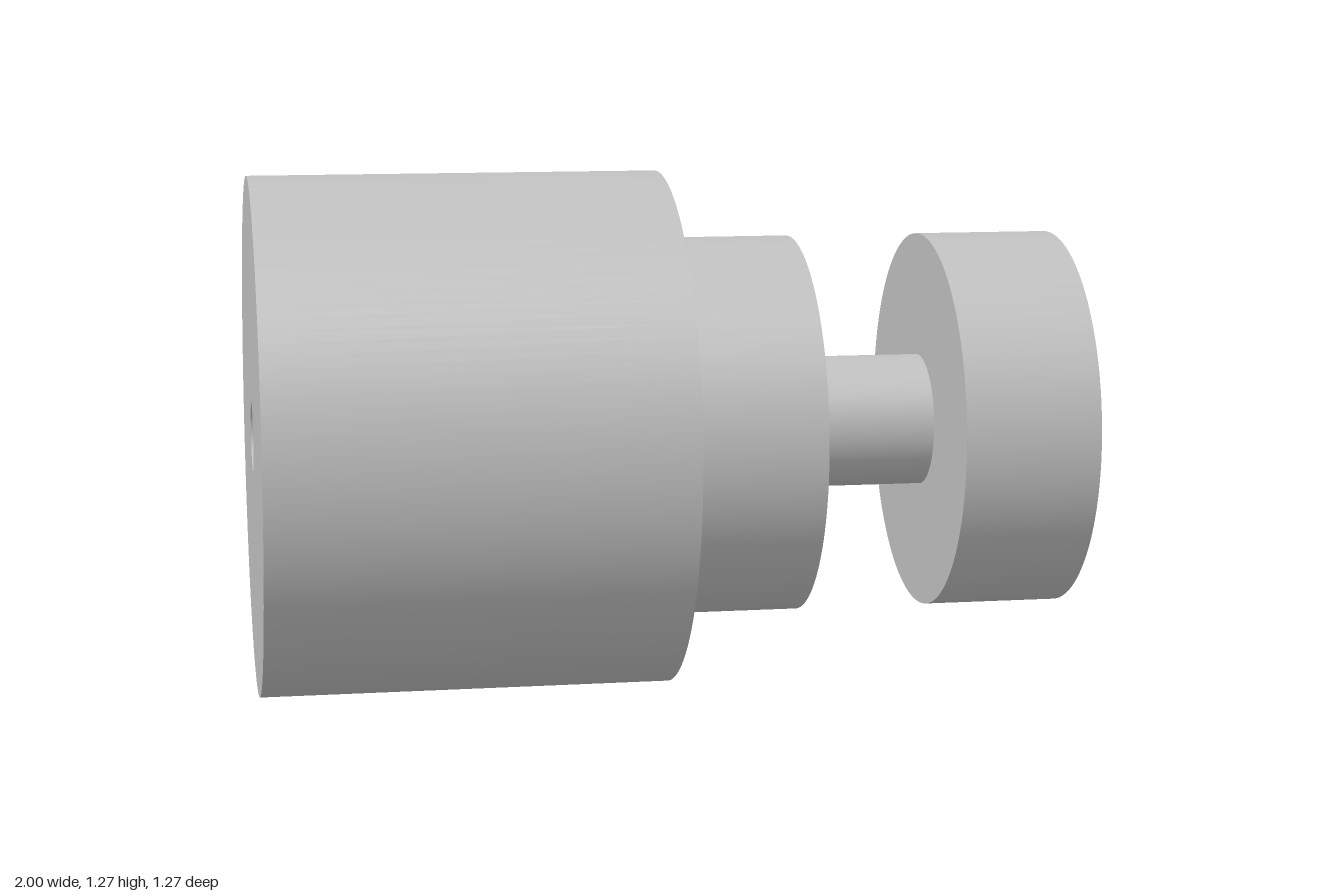
import * as THREE from 'three';
import { mergeGeometries } from 'three/addons/utils/BufferGeometryUtils.js';

const SEGMENTS = 128;
const BORE = 0.084;
const BODY = 0.633;
const COLLAR = 0.467;
const NECK = 0.163;

// Turned section along x. Each profile edge is its own lathe, so corners stay sharp.
// startInner / endInner: inner radius of the exposed end ring (omit for a hidden end).
function turnedSection({ x0, x1, radius, startInner, endInner }) {
  const edges = [
    [[radius, x0], [radius, x1]], // outer wall
    [[BORE, x1], [BORE, x0]], // bore wall
  ];
  if (startInner !== undefined) edges.push([[startInner, x0], [radius, x0]]);
  if (endInner !== undefined) edges.push([[radius, x1], [endInner, x1]]);
  const geometry = mergeGeometries(edges.map((edge) =>
    new THREE.LatheGeometry(edge.map(([r, x]) => new THREE.Vector2(r, x)), SEGMENTS)));
  return geometry.rotateZ(-Math.PI / 2); // lathe axis onto +x
}

export function createModel() {
  const model = new THREE.Group();
  model.name = 'steppedSpool';
  const grey = new THREE.MeshStandardMaterial({ color: 0xc0c0c0 });
  grey.name = 'plain grey';

  const sections = [
    { name: 'mainDrum', x0: -1, x1: 0, radius: BODY, startInner: BORE, endInner: COLLAR },
    { name: 'innerCollar', x0: 0, x1: 0.333, radius: COLLAR, endInner: NECK },
    { name: 'neck', x0: 0.333, x1: 0.667, radius: NECK },
    { name: 'endFlange', x0: 0.667, x1: 1, radius: COLLAR, startInner: NECK, endInner: BORE },
  ];
  for (const section of sections) {
    const mesh = new THREE.Mesh(turnedSection(section), grey);
    mesh.name = section.name;
    mesh.position.y = BODY;
    model.add(mesh);
  }
  return model;
}
